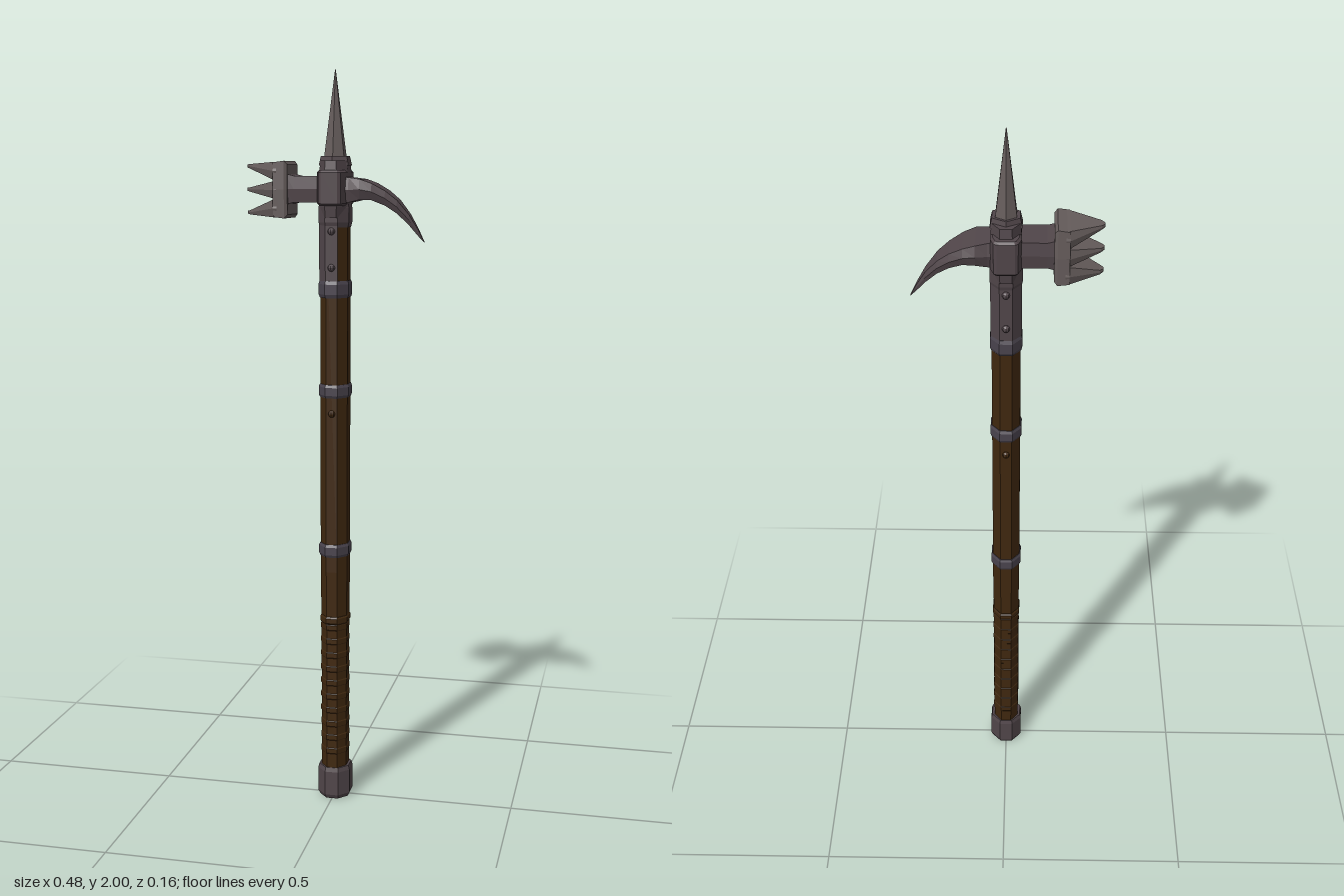
import * as THREE from 'three';

export function createModel() {
  const root = new THREE.Group();
  root.name = 'warHammer';
  const paint = (name, color) => {
    const m = new THREE.MeshStandardMaterial({ color });
    m.name = name;
    return m;
  };
  const wood = paint('darkWood', 0x40280f);
  const steel = paint('darkSteel', 0x51464a);
  const bright = paint('wornSteel', 0x655c5b);
  const band = paint('bandSteel', 0x4a444e);

  // Faceted mesh added to a parent
  const add = (name, geometry, mat, parent = root) => {
    const g = geometry.index ? geometry.toNonIndexed() : geometry;
    g.computeVertexNormals();
    const mesh = new THREE.Mesh(g, mat);
    mesh.name = name;
    parent.add(mesh);
    return mesh;
  };
  const group = (name) => {
    const g = new THREE.Group();
    g.name = name;
    root.add(g);
    return g;
  };

  // Eight-sided prism given by half widths; profile is [y, scale] from bottom to top
  const prism = (rx, rz, profile) => {
    const k = 1 / Math.cos(Math.PI / 8);
    const pts = profile.map(([y, s]) => new THREE.Vector2(s * k, y));
    pts.unshift(new THREE.Vector2(0, profile[0][0]));
    pts.push(new THREE.Vector2(0, profile[profile.length - 1][0]));
    return new THREE.LatheGeometry(pts, 8, Math.PI / 8).scale(rx, 1, rz);
  };
  const ring = (rx, rz, y0, y1) => {
    const c = (y1 - y0) * 0.2;
    return prism(rx, rz, [[y0, 0.93], [y0 + c, 1], [y1 - c, 1], [y1, 0.93]]);
  };

  // Loft along x through six-sided sections [x, yTop, yBottom, halfDepth]
  const loft = (sections, edge = 0.85) => {
    const pos = [];
    const rings = sections.map(([x, t, b, z]) => {
      const m = (t + b) / 2;
      return [[x, t, -z * edge], [x, t, z * edge], [x, m, z],
        [x, b, z * edge], [x, b, -z * edge], [x, m, -z]];
    });
    const tri = (a, b, c) => pos.push(...a, ...b, ...c);
    for (let i = 0; i < rings.length - 1; i++) {
      for (let j = 0; j < 6; j++) {
        const k = (j + 1) % 6;
        tri(rings[i][j], rings[i][k], rings[i + 1][k]);
        tri(rings[i][j], rings[i + 1][k], rings[i + 1][j]);
      }
    }
    const a = rings[0], z = rings[rings.length - 1];
    for (let j = 1; j < 5; j++) {
      tri(a[0], a[j + 1], a[j]);
      tri(z[0], z[j], z[j + 1]);
    }
    const g = new THREE.BufferGeometry();
    g.setAttribute('position', new THREE.Float32BufferAttribute(pos, 3));
    return g;
  };

  // Shaft with a slightly slimmer grip
  add('shaft', prism(0.037, 0.047, [[0.05, 0.95], [0.5, 0.95], [0.66, 1], [1.64, 1]]), wood);
  const grip = group('grip');
  for (let i = 0; i < 10; i++) {
    const y = 0.13 + i * 0.04;
    add('gripWrap', ring(0.0367, 0.0462, y, y + 0.022), wood, grip);
  }
  add('gripCollar', ring(0.038, 0.05, 0.51, 0.532), wood);

  // Pommel cap and steel bands
  add('pommel', prism(0.045, 0.05, [[0, 0.88], [0.012, 1], [0.08, 1], [0.092, 0.93]]), steel);
  const bands = group('bands');
  for (const y of [0.72, 1.16]) add('band', ring(0.041, 0.053, y - 0.018, y + 0.018), band, bands);
  add('langetBand', ring(0.041, 0.054, 1.41, 1.455), band, bands);

  // Langets wrap the shaft, leaving a wooden gap on the beak side
  const langetR = 1 / Math.cos(Math.PI / 8);
  const langet = new THREE.CylinderGeometry(langetR, langetR, 0.2, 6, 1, true,
    Math.PI * 5 / 8, Math.PI * 1.5).scale(0.0395, 1, 0.0495).translate(0, 1.545, 0);
  add('langet', langet, steel);
  add('langetTop', ring(0.041, 0.052, 1.595, 1.66), steel);

  // Rivets on the front and back
  const rivets = group('rivets');
  for (const [y, z, mat] of [[1.49, 0.05, steel], [1.585, 0.05, steel], [1.1, 0.046, wood]]) {
    for (const s of [1, -1]) {
      const r = add('rivet', new THREE.SphereGeometry(0.01, 8, 6), mat, rivets);
      r.position.set(0, y, s * z);
    }
  }

  // Head socket with ears on both sides
  add('socket', ring(0.038, 0.06, 1.62, 1.767), steel);
  const ear = new THREE.Shape([[-0.038, -0.05], [-0.03, -0.073], [-0.022, -0.078], [0.022, -0.078],
    [0.03, -0.073], [0.038, -0.05], [0.038, 0.05], [0.03, 0.073], [0.022, 0.078],
    [-0.022, 0.078], [-0.03, 0.073], [-0.038, 0.05]].map(([x, y]) => new THREE.Vector2(x, y)));
  const block = new THREE.ExtrudeGeometry(ear, {
    depth: 0.08, bevelEnabled: true, bevelThickness: 0.006, bevelSize: 0.006, bevelOffset: -0.006, bevelSegments: 1,
  }).rotateX(-Math.PI / 2).translate(0, 1.657, 0);
  add('headBlock', block, steel);

  // Top spike and its collar
  add('spikeCollar', new THREE.CylinderGeometry(0.04, 0.046, 0.025, 6).translate(0, 1.767, 0), steel);
  add('spike', new THREE.CylinderGeometry(0.001, 0.034, 0.235, 6).scale(0.95, 1, 1.03).translate(0, 1.8825, 0), bright);

  // Curved beak
  add('beak', loft([
    [0.02, 1.727, 1.658, 0.052], [0.045, 1.724, 1.66, 0.053], [0.075, 1.72, 1.667, 0.06],
    [0.106, 1.709, 1.666, 0.054], [0.14, 1.69, 1.652, 0.043], [0.17, 1.666, 1.632, 0.033],
    [0.2, 1.629, 1.602, 0.02], [0.222, 1.592, 1.575, 0.01], [0.239, 1.558, 1.556, 0.003],
  ]), steel);

  // Hammer arm, flared plate and three stacked prongs
  add('hammerArm', loft([[-0.125, 1.734, 1.654, 0.053], [-0.1, 1.728, 1.66, 0.053], [-0.02, 1.728, 1.66, 0.053]], 0.92), steel);
  const hammer = group('hammer');
  add('hammerPlate', loft([
    [-0.155, 1.763, 1.622, 0.063], [-0.125, 1.767, 1.618, 0.062], [-0.117, 1.758, 1.628, 0.057],
  ], 0.97), bright, hammer);
  const prongs = [[1.758, 1.75, 1.764, 1.718], [1.697, 1.689, 1.714, 1.67], [1.637, 1.629, 1.667, 1.621]];
  for (const [tipTop, tipBottom, top, bottom] of prongs) {
    add('prong', loft([
      [-0.239, tipTop, tipBottom, 0.006], [-0.23, tipTop + 0.001, tipBottom - 0.002, 0.017],
      [-0.155, top, bottom, 0.063], [-0.145, top, bottom, 0.063],
    ], 0.9), bright, hammer);
  }
  return root;
}
